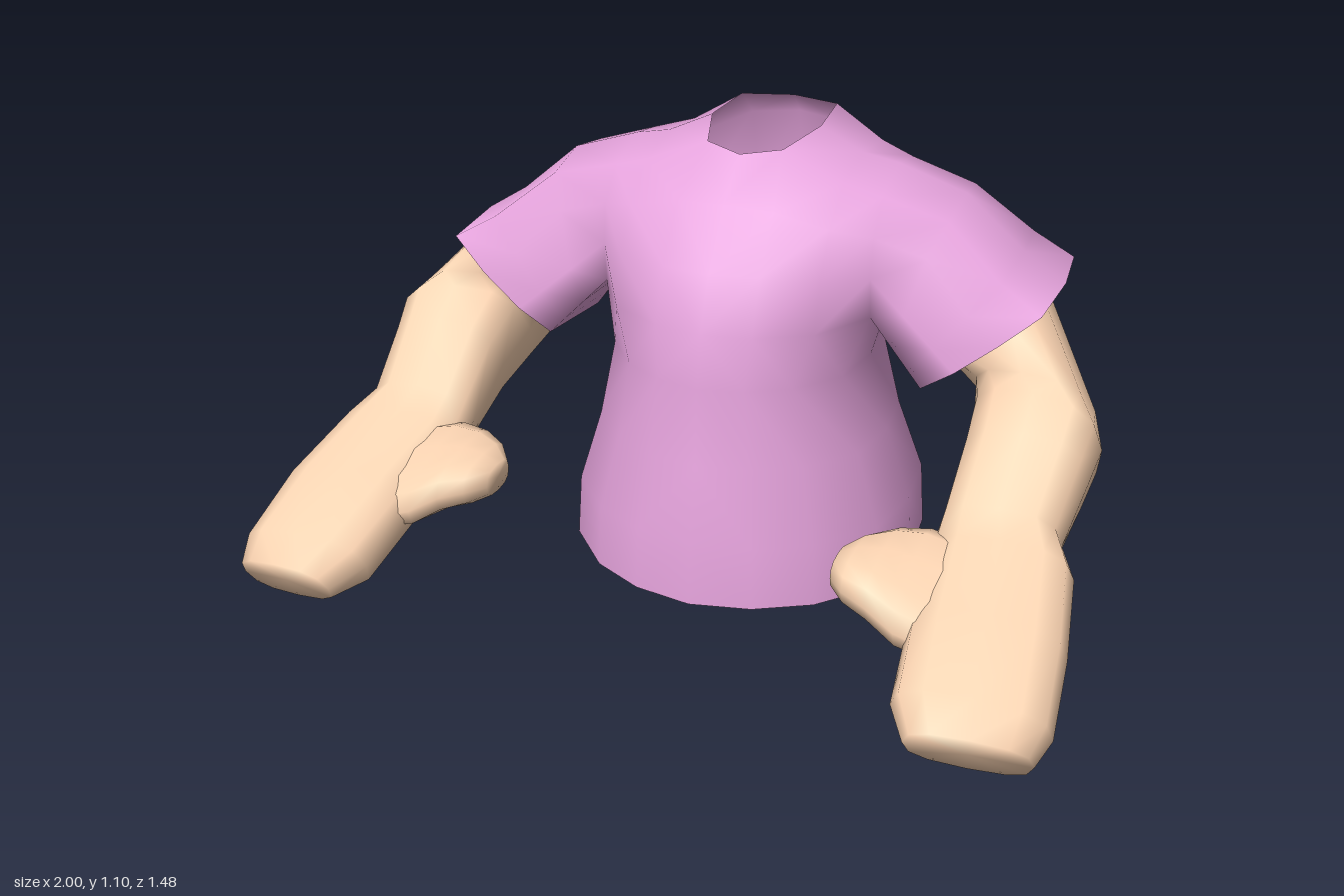
import * as THREE from 'three';
import { mergeVertices } from 'three/addons/utils/BufferGeometryUtils.js';

const shirtMat = new THREE.MeshStandardMaterial({ color: 0xe6a4dd, side: THREE.DoubleSide });
const skinMat = new THREE.MeshStandardMaterial({ color: 0xfed6b4, side: THREE.DoubleSide });
const rad = THREE.MathUtils.degToRad;

// Adds the quads between neighbouring rows of points
function addRows(out, rows, { closed = false, flip = false, skip = () => false } = {}) {
  for (let i = 0; i < rows.length - 1; i++) {
    const n = rows[i].length;
    for (let j = 0; j < (closed ? n : n - 1); j++) {
      if (skip(i, j)) continue;
      const k = (j + 1) % n;
      const [a, b, c, d] = [rows[i][j], rows[i][k], rows[i + 1][k], rows[i + 1][j]];
      out.push(...(flip ? [a, c, b, a, d, c] : [a, b, c, a, c, d]).flat());
    }
  }
}

// Smooth mesh from a list of triangle corners
function smoothMesh(name, positions, material) {
  let g = new THREE.BufferGeometry();
  g.setAttribute('position', new THREE.Float32BufferAttribute(positions, 3));
  g = mergeVertices(g, 1e-4);
  g.computeVertexNormals();
  const m = new THREE.Mesh(g, material);
  m.name = name;
  return m;
}

// Shirt: one half is described, then mirrored about its centre line
function makeShirt() {
  // Arches over the shoulder from chest to back: x, then [y, z] points (a third value overrides x)
  const arches = [
    [0, [[.70, .09], [.83, .04], [.97, -.06], [1.06, -.17], [1.09, -.35], [1.095, -.57], [1.04, -.62], [.82, -.68], [.70, -.655]]],
    [.12, [[.70, .07], [.83, .02], [.96, -.08], [1.07, -.21, .095], [1.09, -.36, .14], [1.095, -.535, .125], [1.03, -.60], [.83, -.65], [.70, -.635]]],
    [.25, [[.70, 0], [.82, -.03], [.93, -.09], [1.01, -.2], [1.04, -.35], [1.02, -.52], [.97, -.57], [.82, -.60], [.70, -.58]]],
    [.34, [[.70, -.15], [.80, -.14], [.90, -.15], [.98, -.22], [1.02, -.36], [1.0, -.48], [.94, -.54], [.82, -.56], [.70, -.54]]],
  ].map(([x, pts]) => pts.map(([y, z, ownX = x]) => [ownX, y, z]));

  // Sleeve rings run from the armhole to the slanted cuff: share of the way, lift of the top
  const armhole = [...arches[3], [.34, .70, -.35]];
  const cuff = [[.48, .555, -.11], [.56, .61, -.10], [.66, .69, -.11], [.75, .765, -.14], [.76, .77, -.36],
    [.735, .755, -.58], [.66, .69, -.6], [.57, .62, -.61], [.48, .555, -.60], [.46, .54, -.36]];
  const sleeve = [[0, 0], [.4, .045], [.75, .005], [1, 0]].map(([t, lift]) => armhole.map((p, k) => {
    const q = p.map((v, a) => v + (cuff[k][a] - v) * t);
    if (k > 1 && k < 7) q[1] += lift;
    if (k === 2 || k === 3) q[2] -= lift * .6;
    if (k === 5 || k === 6) q[2] += lift * .7;
    return q;
  }));

  // Body rows from the armpit down to the hem: y, half width, front z, back z
  const body = [[...arches.map(a => a[0]), [.34, .70, -.35], ...arches.map(a => a[8]).reverse()]];
  const depth = [1, .93, .76, .44, 0, -.44, -.77, -.9, -1];
  const width = [0, .35, .66, .94, 1, .95, .70, .35, 0];
  for (const [y, w, f, b] of [[.56, .315, .115, -.625], [.36, .36, .125, -.66], [.17, .42, .165, -.73], [.01, .43, .17, -.735]]) {
    body.push(width.map((k, i) => [w * k, y + .01 * depth[i], (f + b) / 2 + (f - b) / 2 * depth[i]]));
  }

  const out = [];
  for (const s of [1, -1]) {
    const place = rows => rows.map(r => r.map(([x, y, z]) => [s * x + .02, y, z]));
    const flip = s > 0;
    // The two skipped cells leave the neck hole open
    addRows(out, place(arches), { flip, skip: (i, j) => i === 0 && (j === 3 || j === 4) });
    addRows(out, place(sleeve), { flip, closed: true });
    addRows(out, place(body), { flip });
  }
  return smoothMesh('shirt', out, shirtMat);
}

// Tube through rounded-box rings [centre, U, V], with a cap on its far end
function limb(name, rings, s) {
  const sides = 12, soft = v => Math.sign(v) * Math.abs(v) ** .75;
  const rows = rings.map(([c, U, V]) => Array.from({ length: sides }, (_, i) => {
    const a = i / sides * Math.PI * 2, u = soft(Math.cos(a)), v = soft(Math.sin(a));
    const p = c.map((q, k) => q + U[k] * u + V[k] * v);
    return [p[0] * s, p[1], p[2]];
  }));
  const end = rings[rings.length - 1][0];
  rows.push(rows[0].map(() => [end[0] * s, end[1], end[2]]));
  const out = [];
  addRows(out, rows, { closed: true, flip: s < 0 });
  return smoothMesh(name, out, skinMat);
}

// Arm with mitten hand and thumb; dz slides everything below the shoulder
function makeArm(name, s, dz) {
  const g = new THREE.Group();
  g.name = name;
  // x, y, z, half width, half height, pitch, roll, forward swing of the outer side, share of dz
  const arm = [
    [.55, .735, -.35, .10, .125, 90, 35, 0, 0],
    [.635, .65, -.32, .135, .15, 80, 33, .01, .4],
    [.75, .495, -.265, .15, .185, 45, 8, .05, 1],
    [.775, .46, -.16, .16, .165, 30, 0, .03, 1],
    [.775, .415, -.04, .15, .135, 20, 0, 0, 1],
    [.765, .335, .13, .14, .095, 20, 0, 0, 1],
    [.785, .295, .20, .165, .09, 20, 0, 0, 1],
    [.81, .232, .42, .177, .092, 20, -3, 0, 1],
    [.83, .155, .62, .172, .093, 25, -6, -.02, 1],
    [.845, .13, .70, .135, .068, 30, -8, -.03, 1],
  ].map(([x, y, z, w, h, pitch, roll, swing, k]) => {
    const a = rad(pitch), b = rad(roll);
    return [[x, y, z + dz * k], [w * Math.cos(b), w * Math.sin(b), swing],
      [-h * Math.sin(b) * Math.cos(a), h * Math.cos(b) * Math.cos(a), h * Math.sin(a)]];
  });
  // x, y, z, half depth, half height, rise from back to front
  const thumb = [
    [.71, .265, .335, .15, .065, -.045],
    [.62, .285, .335, .163, .072, -.03],
    [.55, .305, .335, .148, .062, -.01],
    [.49, .31, .345, .115, .053, 0],
    [.45, .31, .352, .06, .035, 0],
  ].map(([x, y, z, w, h, rise]) => [[x, y, z + dz], [0, rise, w], [0, h, 0]]);
  g.add(limb('armAndHand', arm, s), limb('thumb', thumb, s));
  return g;
}

export function createModel() {
  const model = new THREE.Group();
  model.name = 'shirtWithArms';
  model.add(makeShirt(), makeArm('leftArm', 1, 0), makeArm('rightArm', -1, -.12));
  return model;
}
